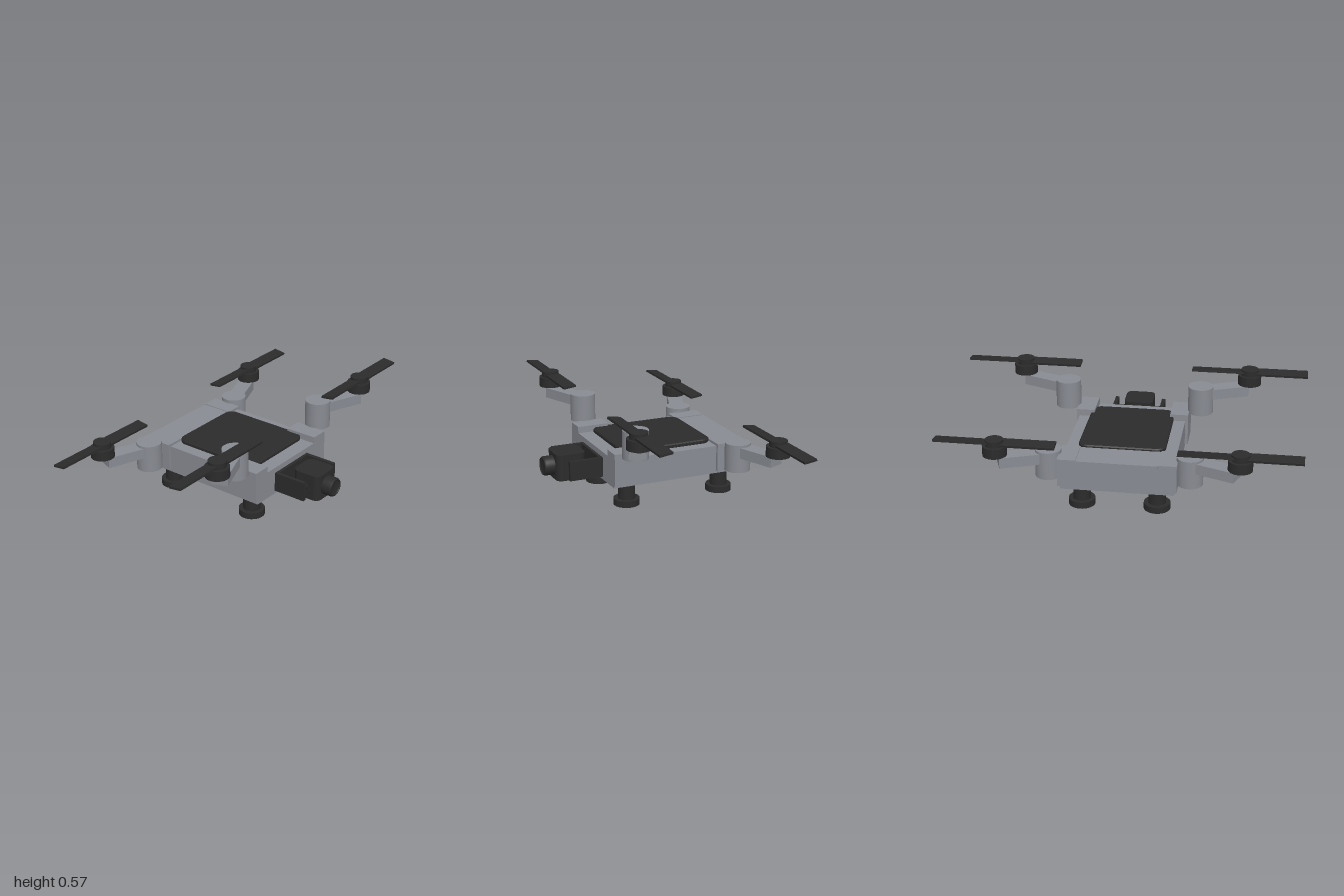
import * as THREE from 'three';

const grey = new THREE.MeshStandardMaterial({ color: 0x888b92 });
grey.name = 'shell grey';
const dark = new THREE.MeshStandardMaterial({ color: 0x2b2b2b });
dark.name = 'matte black';

function add(parent, name, geometry, material, x = 0, y = 0, z = 0) {
  const mesh = new THREE.Mesh(geometry, material);
  mesh.name = name;
  mesh.position.set(x, y, z);
  parent.add(mesh);
  return mesh;
}

// Box given by its limits on each axis
function box(parent, name, material, x0, x1, y0, y1, z0, z1) {
  return add(parent, name, new THREE.BoxGeometry(Math.abs(x1 - x0), y1 - y0, z1 - z0), material,
    (x0 + x1) / 2, (y0 + y1) / 2, (z0 + z1) / 2);
}

// Upright cylinder given by its bottom and top
function post(parent, name, material, r, y0, y1, x, z) {
  return add(parent, name, new THREE.CylinderGeometry(r, r, y1 - y0, 32), material, x, (y0 + y1) / 2, z);
}

// Horizontal slab with rounded corners in plan
function slab(parent, name, material, halfW, z0, z1, y0, y1, r, bevel = 0) {
  const w = halfW - bevel, d = (z1 - z0) / 2 - bevel;
  const s = new THREE.Shape();
  s.moveTo(-w + r, -d);
  s.lineTo(w - r, -d);
  s.absarc(w - r, -d + r, r, -Math.PI / 2, 0);
  s.absarc(w - r, d - r, r, 0, Math.PI / 2);
  s.absarc(-w + r, d - r, r, Math.PI / 2, Math.PI);
  s.absarc(-w + r, -d + r, r, Math.PI, Math.PI * 1.5);
  const g = new THREE.ExtrudeGeometry(s, {
    depth: y1 - y0 - 2 * bevel, curveSegments: 8,
    bevelEnabled: bevel > 0, bevelSize: bevel, bevelThickness: bevel, bevelSegments: 1,
  });
  g.rotateX(-Math.PI / 2);
  return add(parent, name, g, material, 0, y0 + bevel, (z0 + z1) / 2);
}

// Hinge, arm, motor and propeller; side is the x sign, lift the height of the hinge top
function rotorArm(side, hingeZ, motorZ, lift, label) {
  const arm = new THREE.Group();
  arm.name = label + 'RotorArm';
  const hx = 0.39 * side, mx = 0.665 * side;
  post(arm, 'hinge', grey, 0.073, lift - 0.16, lift, hx, hingeZ);

  // straight beam from the hinge to just short of the motor axis
  const ex = 0.648 * side, dx = ex - hx, dz = motorZ - hingeZ;
  const beam = add(arm, 'beam', new THREE.BoxGeometry(Math.hypot(dx, dz), 0.06, 0.092), grey,
    (hx + ex) / 2, lift - 0.043, (hingeZ + motorZ) / 2);
  beam.rotation.y = Math.atan2(-dz, dx);

  const top = lift + 0.048;
  post(arm, 'motorShaft', dark, 0.022, top - 0.075, top - 0.05, mx, motorZ);
  post(arm, 'motor', dark, 0.067, top - 0.058, top, mx, motorZ);
  post(arm, 'propellerHub', dark, 0.05, top, top + 0.034, mx, motorZ);

  // two blades pitched in opposite senses about the hub
  for (const s of [-1, 1]) {
    const blade = add(arm, 'propellerBlade', new THREE.BoxGeometry(0.335, 0.012, 0.075), dark,
      mx + s * 0.1675, top + 0.015, motorZ);
    blade.rotation.x = s * 0.13;
  }
  return arm;
}

export function createModel() {
  const model = new THREE.Group();
  model.name = 'foldingDrone';

  // Body
  const body = new THREE.Group();
  body.name = 'body';
  model.add(body);
  box(body, 'hull', grey, -0.31, 0.31, 0.14, 0.302, -0.518, 0.292);
  slab(body, 'batteryCover', dark, 0.243, -0.34, 0.207, 0.298, 0.325, 0.05, 0.006);
  slab(body, 'bellyPlate', dark, 0.26, -0.44, 0.2, 0.13, 0.142, 0.04);
  box(body, 'rearDeck', grey, -0.225, 0.225, 0.15, 0.312, -0.522, -0.338);

  for (const side of [-1, 1]) {
    const name = side > 0 ? 'left' : 'right';

    // Corner mounts
    box(body, name + 'FrontMount', grey, side * 0.222, side * 0.327, 0.155, 0.34, 0.105, 0.294);
    box(body, name + 'RearMount', grey, side * 0.225, side * 0.327, 0.155, 0.316, -0.52, -0.335);

    // Rotor arms: front pair high, rear pair low
    model.add(rotorArm(side, 0.198, 0.3, 0.49, name + 'Front'));
    model.add(rotorArm(side, -0.428, -0.527, 0.337, name + 'Rear'));

    // Landing legs
    for (const z of [0.175, -0.403]) {
      const leg = new THREE.Group();
      leg.name = name + (z > 0 ? 'FrontLeg' : 'RearLeg');
      post(leg, 'strut', dark, 0.049, 0.03, 0.145, side * 0.21, z);
      post(leg, 'foot', dark, 0.074, 0, 0.037, side * 0.21, z);
      model.add(leg);
    }
  }

  // Camera on its yoke
  const cam = new THREE.Group();
  cam.name = 'cameraGimbal';
  model.add(cam);
  box(cam, 'yokeBack', dark, -0.153, 0.153, 0.158, 0.27, 0.288, 0.31);
  for (const side of [-1, 1]) box(cam, 'yokeSide', dark, side * 0.131, side * 0.153, 0.158, 0.27, 0.3, 0.488);
  const axle = add(cam, 'axle', new THREE.CylinderGeometry(0.022, 0.022, 0.28, 24), dark, 0, 0.214, 0.447);
  axle.rotation.z = Math.PI / 2;
  slab(cam, 'cameraBody', dark, 0.086, 0.364, 0.537, 0.139, 0.29, 0.036);

  // Lens barrel with a recessed front
  const profile = [[0.055, 0], [0.055, 0.05], [0.05, 0.06], [0.043, 0.06], [0.043, 0.052], [0, 0.052]];
  const lens = new THREE.LatheGeometry(profile.map(([r, h]) => new THREE.Vector2(r, h)), 32);
  add(cam, 'lens', lens, dark, 0, 0.214, 0.537).rotation.x = Math.PI / 2;

  return model;
}
